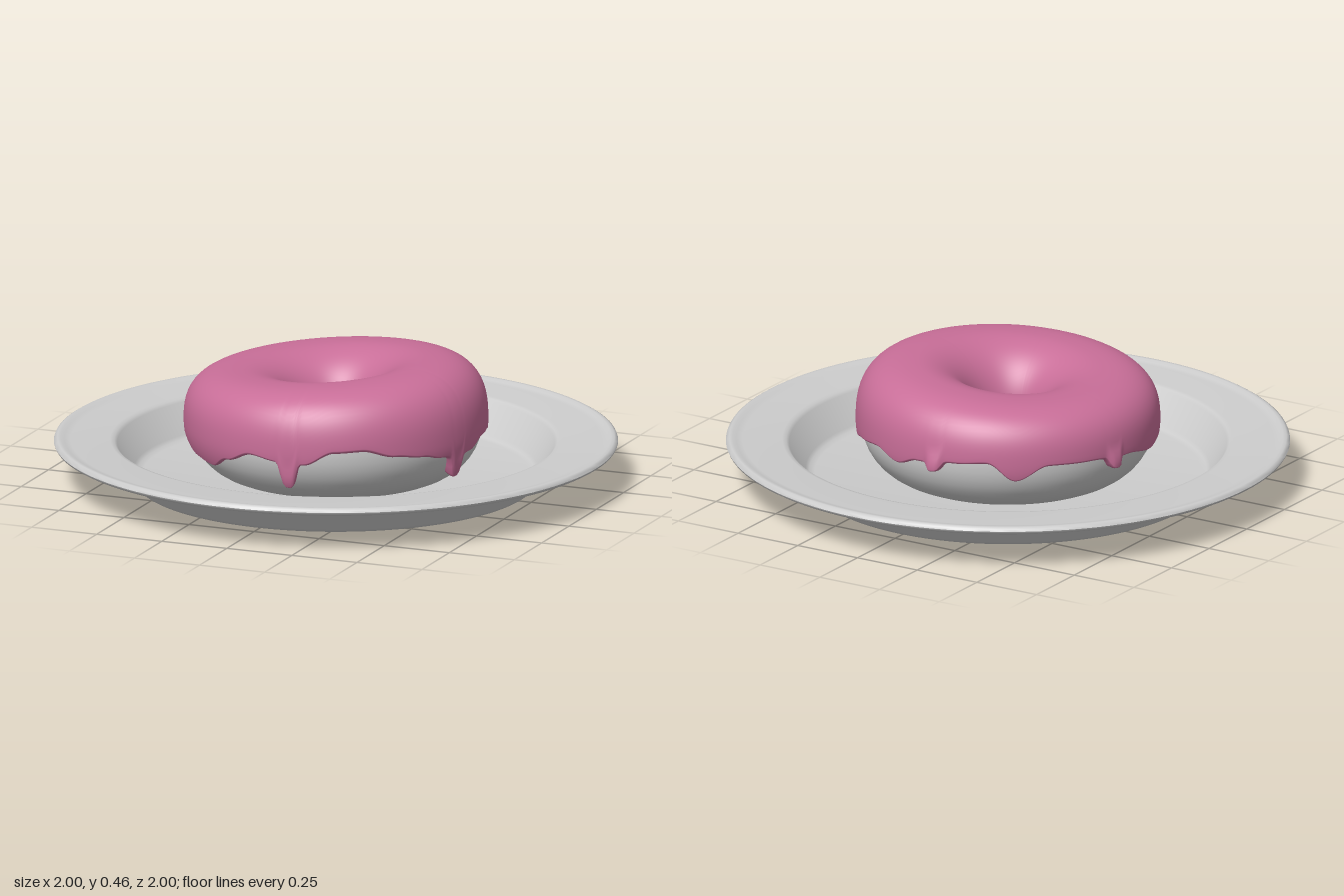
import * as THREE from 'three';
import { toCreasedNormals } from 'three/addons/utils/BufferGeometryUtils.js';

const RING = 0.325; // radius of the ring's centre line
const MID = 0.23; // height of the ring's widest level
const LOW = 0.2; // depth of the ring below that level
const THICK = 0.02; // icing thickness

// Icing hem: pairs of azimuth (degrees from the front towards +x) and height
const HEM = [
  [0, 0.195], [10, 0.19], [22, 0.24], [33, 0.245], [46, 0.215], [58, 0.2],
  [68, 0.18], [77, 0.165], [86, 0.17], [96, 0.2], [106, 0.2], [116, 0.18],
  [127, 0.18], [138, 0.2], [153, 0.215], [165, 0.185], [175, 0.215], [192, 0.23],
  [204, 0.24], [215, 0.17], [228, 0.225], [245, 0.22], [264, 0.205], [285, 0.17],
  [297, 0.18], [312, 0.135], [325, 0.125], [336, 0.17], [348, 0.21], [360, 0.195],
];
// Narrow drips: azimuth, extra length
const DRIPS = [[4, 0.085], [77, 0.065], [183, 0.03], [257, 0.035]];

const dripShape = (deg, at, width) => {
  const d = ((deg - at + 540) % 360) - 180;
  return Math.exp(-((d / width) ** 4));
};

function hemHeight(deg) {
  const i = HEM.findIndex((k) => k[0] > deg);
  const [a0, h0] = HEM[i - 1], [a1, h1] = HEM[i];
  let h = THREE.MathUtils.lerp(h0, h1, THREE.MathUtils.smoothstep(deg, a0, a1));
  for (const [at, len] of DRIPS) h -= len * dripShape(deg, at, 3.4);
  return h;
}

// Point on the ring's surface: azimuth, angle round the section, offset outward
function ringPoint(deg, t, off) {
  const az = THREE.MathUtils.degToRad(deg);
  const c = Math.cos(t), s = Math.sin(t);
  const n = s > 0 && c > 0 ? 2.7 : 2;
  const k = (Math.abs(c) ** n + Math.abs(s) ** n) ** (-1 / n);
  const top = 0.415 + 0.024 * Math.sin(az); // uneven, slightly tilted top
  const r = RING + k * c * (0.195 + off);
  const y = MID + k * s * ((s > 0 ? top - MID : LOW) + off);
  return [r * Math.sin(az), y, r * Math.cos(az)];
}

// Surface swept round the ring; column(deg) gives [t, offset] pairs
function sweep(segments, column) {
  const pos = [], index = [];
  let rows = 0;
  for (let j = 0; j < segments; j++) {
    const deg = (j / segments) * 360;
    const col = column(deg);
    rows = col.length;
    for (const [t, off] of col) pos.push(...ringPoint(deg, t, off));
  }
  for (let j = 0; j < segments; j++) {
    const next = ((j + 1) % segments) * rows;
    for (let i = 0; i < rows - 1; i++) {
      const a = j * rows + i, c = next + i;
      index.push(a, a + 1, c, c, a + 1, c + 1);
    }
  }
  const geo = new THREE.BufferGeometry();
  geo.setAttribute('position', new THREE.Float32BufferAttribute(pos, 3));
  geo.setIndex(index);
  geo.computeVertexNormals();
  return geo;
}

// Icing section: rounded inner lip, body, rounded outer hem
function icingColumn(deg) {
  const inner = Math.PI + 0.4 + 0.1 * Math.sin(THREE.MathUtils.degToRad(deg * 3));
  const outer = Math.asin((hemHeight(deg) - MID) / (LOW + THICK)) + 0.06;
  const bulge = DRIPS.reduce((sum, [at]) => sum + 0.018 * dripShape(deg, at, 3), 0);
  const col = [], lip = 5, body = 44;
  const lipAt = (i) => (i / lip) * (Math.PI / 2);
  for (let i = lip; i > 0; i--) {
    const f = lipAt(i);
    col.push([inner + 0.06 * Math.sin(f), (THICK + 0.005) * Math.cos(f) - 0.005]);
  }
  for (let i = 0; i <= body; i++) {
    const t = THREE.MathUtils.lerp(inner, outer, i / body);
    const swell = bulge * (1 - THREE.MathUtils.smoothstep(t, outer, outer + 0.4));
    col.push([t, THICK + swell]);
  }
  for (let i = 1; i <= lip; i++) {
    const f = lipAt(i);
    col.push([outer - 0.06 * Math.sin(f), (THICK + bulge + 0.005) * Math.cos(f) - 0.005]);
  }
  return col;
}

// Plain dough section, closed at the bottom
function doughColumn() {
  return Array.from({ length: 41 }, (_, i) => [Math.PI * (1.5 - i / 20), 0]);
}

function plateGeometry() {
  const profile = [
    // underside
    [0, 0], [0.69, 0], [0.71, 0.004], [0.725, 0.016], [0.785, 0.118], [0.8, 0.13],
    [0.83, 0.134], [0.96, 0.134],
    // rounded rim
    [0.985, 0.136], [0.997, 0.143], [1, 0.15], [0.997, 0.158], [0.987, 0.164],
    [0.975, 0.164], [0.962, 0.158],
    // upper side
    [0.94, 0.155], [0.8, 0.155], [0.785, 0.152], [0.775, 0.143], [0.717, 0.045],
    [0.705, 0.034], [0.685, 0.03], [0, 0.03],
  ].map(([x, y]) => new THREE.Vector2(x, y));
  return toCreasedNormals(new THREE.LatheGeometry(profile, 128), 0.7);
}

export function createModel() {
  const grey = new THREE.MeshStandardMaterial({ color: 0xcccccc });
  grey.name = 'light grey';
  const pink = new THREE.MeshStandardMaterial({ color: 0xc86e98 });
  pink.name = 'pink icing';

  const group = new THREE.Group();
  const add = (name, geometry, material) => {
    const mesh = new THREE.Mesh(geometry, material);
    mesh.name = name;
    group.add(mesh);
  };
  add('plate', plateGeometry(), grey);
  add('dough', sweep(96, doughColumn), grey);
  add('icing', sweep(360, icingColumn), pink);
  return group;
}
